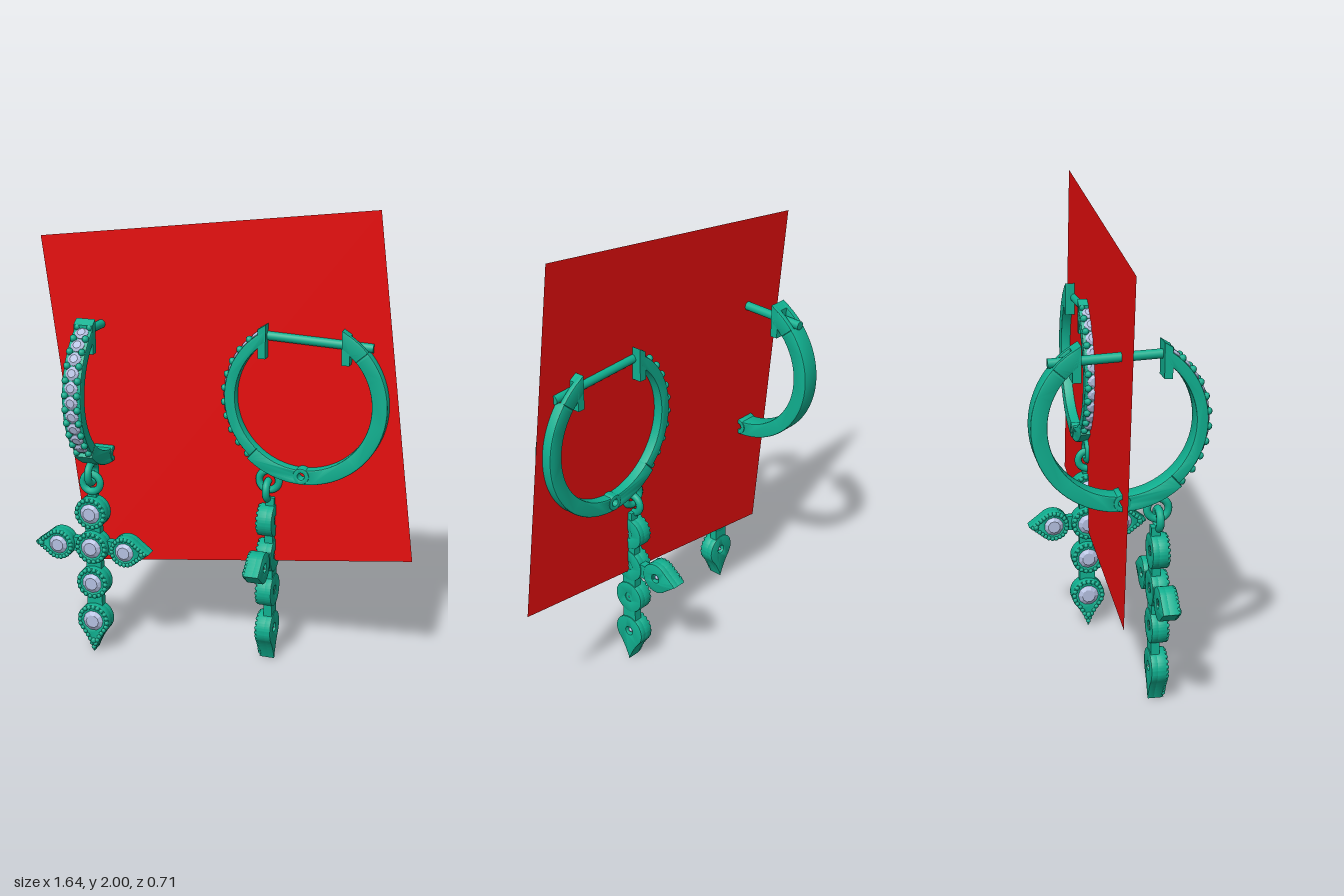
import * as THREE from 'three';
import { mergeGeometries, toCreasedNormals } from 'three/addons/utils/BufferGeometryUtils.js';

const metal = new THREE.MeshStandardMaterial({ color: 0x10b090 });
const stone = new THREE.MeshStandardMaterial({ color: 0xb4bfe0, flatShading: true });
const red = new THREE.MeshStandardMaterial({ color: 0xe60d0d, side: THREE.DoubleSide });

function add(parent, name, geometry, material = metal, x = 0, y = 0, z = 0) {
  const mesh = new THREE.Mesh(geometry, material);
  mesh.name = name;
  mesh.position.set(x, y, z);
  parent.add(mesh);
  return mesh;
}

// Extrusion from z0 to z1 with a small rounded edge that keeps the outline size
function slab(shape, z0, z1, bevel = 0.006) {
  const g = new THREE.ExtrudeGeometry(shape, {
    depth: z1 - z0 - 2 * bevel, curveSegments: 40, bevelEnabled: bevel > 0,
    bevelThickness: bevel, bevelSize: bevel, bevelOffset: -bevel, bevelSegments: 2,
  });
  g.translate(0, 0, z0 + bevel);
  return toCreasedNormals(g, 0.6);
}

function polygon(points) {
  return new THREE.Shape(points.map(([x, y]) => new THREE.Vector2(x, y)));
}

function punch(shape, x, y, r) {
  shape.holes.push(new THREE.Path().absarc(x, y, r, 0, Math.PI * 2, true));
  return shape;
}

function disc(r) {
  return new THREE.Shape().absarc(0, 0, r, 0, Math.PI * 2, false);
}

// Circle that runs out to a point at +x
function teardrop(r, tip) {
  const a = 0.87, c = Math.cos(a), s = Math.sin(a), d = (tip - r) * 0.65;
  const shape = new THREE.Shape();
  shape.absarc(0, 0, r, a, Math.PI * 2 - a, false);
  shape.quadraticCurveTo(r * c + d * s, -r * s + d * c, tip, 0);
  shape.quadraticCurveTo(r * c + d * s, r * s - d * c, r * c, r * s);
  return shape;
}

// Ring segment with separate outer and inner end angles
function band(ro, ri, o0, o1, i0, i1) {
  const shape = new THREE.Shape();
  shape.absarc(0, 0, ro, o0, o1, false);
  shape.absarc(0, 0, ri, i1, i0, true);
  return shape;
}

// Cut stone facing +z, girdle at z = 0
function cutStone(r, depth, crown, sides = 8) {
  const profile = [[0, -depth], [r, -0.002], [r, 0.002], [r * 0.58, crown], [0, crown]];
  const g = new THREE.LatheGeometry(profile.map(([x, y]) => new THREE.Vector2(x, y)), sides);
  return g.rotateX(Math.PI / 2);
}

// One stone setting of the cross: floor, cup, beaded rim and stone
function setting(parent, name, x, y, r, tip, turn) {
  const g = new THREE.Group();
  g.name = name;
  g.position.set(x, y, 0);
  g.rotation.z = turn;
  parent.add(g);
  const outline = () => (tip ? teardrop(r, tip) : disc(r));
  const rimStone = r * 0.68;
  add(g, 'settingFloor', slab(punch(outline(), 0, 0, 0.02), 0, 0.03, 0.003));
  add(g, 'settingCup', slab(punch(outline(), 0, 0, rimStone - 0.008), 0.02, 0.066));
  const beads = outline().getSpacedPoints(tip ? 24 : 18).slice(1).map((p) =>
    new THREE.SphereGeometry(0.0105, 8, 6).translate(p.x * 0.86, p.y * 0.86, 0.064));
  if (tip) beads.push(new THREE.SphereGeometry(0.014, 8, 6).translate(r + (tip - r) * 0.3, 0, 0.064));
  add(g, 'rimBeads', mergeGeometries(beads));
  add(g, 'settingStone', cutStone(rimStone, 0.06, 0.016, 10), stone, 0, 0, 0.06);
}

// Pendant cross facing +z, its back on z = 0
function makeCross() {
  const cross = new THREE.Group();
  cross.name = 'crossPendant';
  const bar = (x, y, w, h) =>
    add(cross, 'crossBar', new THREE.BoxGeometry(w, h, 0.036), metal, x, y, 0.022);
  bar(0, 0.45, 0.07, 0.5);
  bar(0, 0.495, 0.28, 0.064);
  bar(0, 0.735, 0.04, 0.05);
  setting(cross, 'topSetting', 0, 0.655, 0.072, 0, 0);
  setting(cross, 'centreSetting', 0, 0.495, 0.073, 0, 0);
  setting(cross, 'lowerSetting', 0, 0.33, 0.072, 0, 0);
  setting(cross, 'bottomTip', 0, 0.15, 0.074, 0.15, -Math.PI / 2);
  setting(cross, 'leftTip', 0.155, 0.495, 0.068, 0.11, 0);
  setting(cross, 'rightTip', -0.155, 0.495, 0.068, 0.11, Math.PI);
  add(cross, 'pendantLink', new THREE.TorusGeometry(0.04, 0.016, 10, 28), metal, 0, 0.79, 0.035);
  return cross;
}

// Hoop in the xy plane round the origin, stones on the -x side
function makeHoop() {
  const hoop = new THREE.Group();
  hoop.name = 'hoop';
  const RO = 0.355, RI = 0.29, END = 0.16, W = 0.042, PI = Math.PI;
  const endAngle = (r) => Math.acos(END / r);
  const split = 3.98, slot = 0.72;

  // Plain half, with the hinge hole
  const plain = punch(band(RO, RI, split, 2 * PI + slot, split, 2 * PI + slot), 0, -0.317, 0.015);
  add(hoop, 'plainHalf', slab(plain, -W, W));
  add(hoop, 'hinge', slab(punch(disc(0.034), 0, 0, 0.015), -W - 0.004, W + 0.004, 0.003), metal, 0, -0.317);

  // Cheeks either side of the clasp slot
  const cheek = band(RO, RI, slot, endAngle(RO), slot, endAngle(RI));
  add(hoop, 'claspCheek', slab(cheek, 0.019, W, 0.003));
  add(hoop, 'claspCheek', slab(cheek, -W, -0.019, 0.003));

  // Stone-set half
  const rp = 0.337;
  add(hoop, 'stoneHalf', slab(band(rp, RI, PI - endAngle(rp), split, PI - endAngle(RI), split), -W, W));
  const prongs = [];
  for (let i = 0; i <= 10; i++) {
    const a = 2.14 + i * 0.18;
    if (i < 10) {
      const m = a + 0.09;
      const gem = add(hoop, 'hoopStone', cutStone(0.03, 0.02, 0.01), stone, rp * Math.cos(m), rp * Math.sin(m));
      gem.rotation.set(0, PI / 2, 0);
      gem.rotation.order = 'ZYX';
      gem.rotation.z = m;
    }
    for (const z of [-0.027, 0.027]) {
      prongs.push(new THREE.SphereGeometry(0.0155, 8, 6)
        .translate(0.341 * Math.cos(a), 0.341 * Math.sin(a), z));
    }
  }
  add(hoop, 'prongs', mergeGeometries(prongs));

  // End plates and ear post
  for (const s of [-1, 1]) {
    const plate = polygon([[s * END, 0.175], [s * 0.193, 0.175], [s * 0.193, 0.297], [s * END, 0.318]]);
    add(hoop, 'endPlate', slab(plate, -W, W, 0));
  }
  const a = new THREE.Vector3(-0.175, 0.266, 0), b = new THREE.Vector3(0.283, 0.246, 0);
  const post = add(hoop, 'earPost', new THREE.CylinderGeometry(0.019, 0.019, a.distanceTo(b), 20));
  post.position.copy(a).add(b).multiplyScalar(0.5);
  post.rotation.z = Math.atan2(b.y - a.y, b.x - a.x) - PI / 2;
  return hoop;
}

function makeEarring(name) {
  const earring = new THREE.Group();
  earring.name = name;
  const hoop = makeHoop();
  hoop.position.y = 1.197;
  earring.add(hoop);
  add(earring, 'hoopLink', new THREE.TorusGeometry(0.043, 0.016, 10, 28), metal, -0.15, 0.833);
  const cross = makeCross();
  cross.rotation.y = -Math.PI / 2;
  cross.position.x = -0.118;
  earring.add(cross);
  return earring;
}

export function createModel() {
  const model = new THREE.Group();
  model.name = 'earringPair';

  const leftEarring = makeEarring('leftEarring');
  leftEarring.position.x = 0.345;
  const rightEarring = makeEarring('rightEarring');
  rightEarring.position.x = -0.555;
  rightEarring.rotation.y = Math.PI / 2;
  model.add(leftEarring, rightEarring);

  // Tilted square sheet through the middle
  const sheet = add(model, 'backingSheet', new THREE.PlaneGeometry(1.471, 1.471), red, 0, 1.18, 0);
  sheet.rotation.z = 0.1227;
  return model;
}
